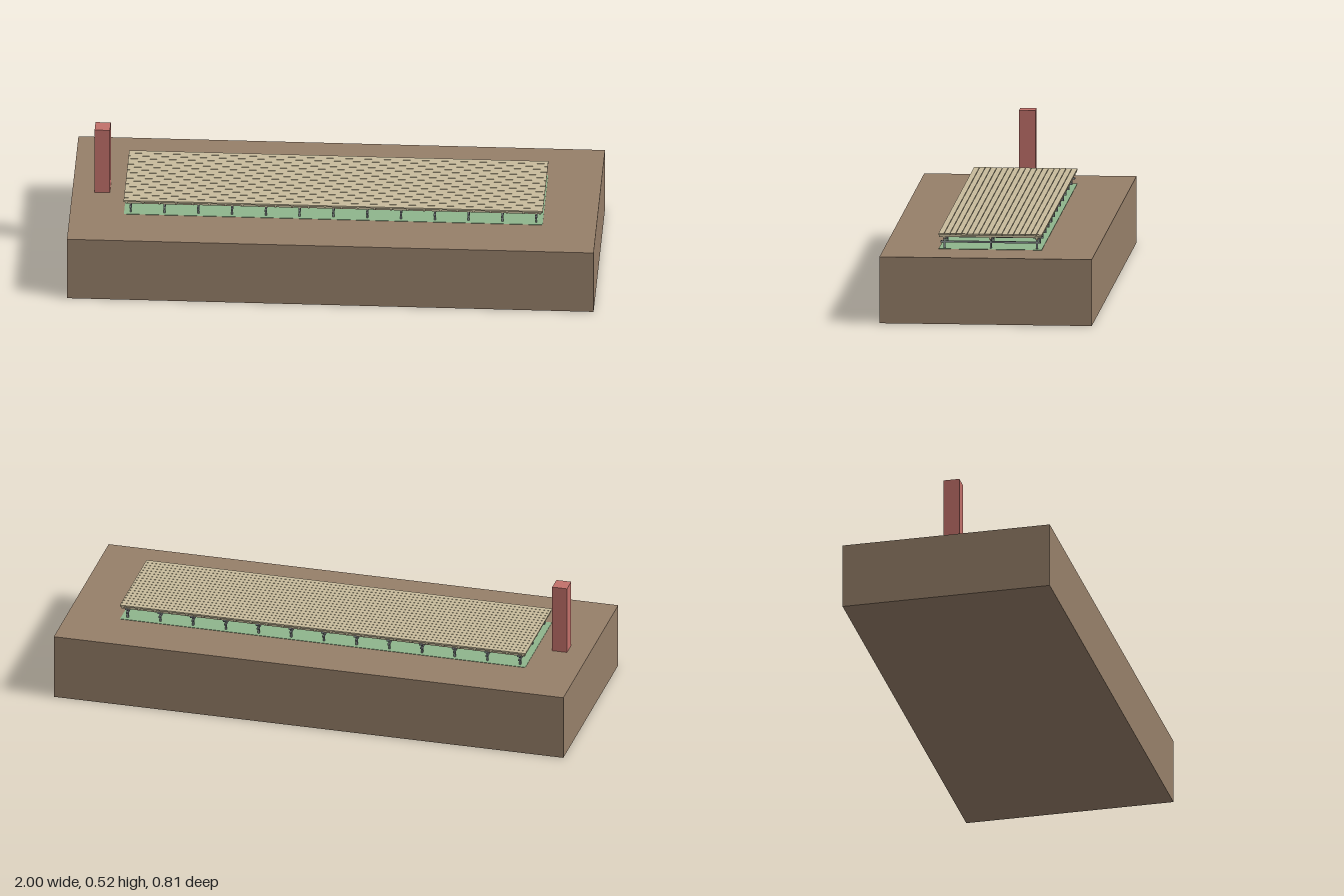
import * as THREE from 'three';

export function createModel() {
  const model = new THREE.Group();
  const mat = (name, color) => {
    const m = new THREE.MeshStandardMaterial({ color });
    m.name = name;
    return m;
  };
  const earth = mat('earth brown', 0x967f69);
  const brick = mat('brick red', 0xc2706a);
  const timber = mat('pale timber', 0xc8bc9c);
  const steel = mat('grey steel', 0x878d90);
  const grass = mat('grass green', 0x8fb58c);

  // Box given by its centre in x and z and its bottom and top heights
  const box = (name, material, x, z, w, d, y0, y1, parent = model) => {
    const mesh = new THREE.Mesh(new THREE.BoxGeometry(w, y1 - y0, d), material);
    mesh.position.set(x, (y0 + y1) / 2, z);
    mesh.name = name;
    parent.add(mesh);
    return mesh;
  };
  const group = (name) => {
    const g = new THREE.Group();
    g.name = name;
    model.add(g);
    return g;
  };

  // Ground block, marker pillar and strip of grass under the deck
  box('groundBlock', earth, 0, 0, 2, 0.808, 0, 0.255);
  box('markerPillar', brick, -0.886, 0, 0.058, 0.062, 0.255, 0.525);
  box('grassStrip', grass, 0, 0, 1.59, 0.392, 0.255, 0.2565);

  // Rows of posts, each row joined by a cross rail
  const frame = group('supportFrame');
  const rows = 13;
  for (let i = 0; i < rows; i++) {
    const x = -0.77 + (1.54 * i) / (rows - 1);
    for (const z of [-0.176, 0, 0.176]) {
      box('post', steel, x, z, 0.007, 0.007, 0.2565, 0.296, frame);
      // Round clamp beside the post head
      const clamp = new THREE.Mesh(new THREE.CylinderGeometry(0.004, 0.004, 0.012, 8), steel);
      clamp.rotation.z = Math.PI / 2;
      clamp.position.set(x + 0.003, 0.294, z - 0.008);
      clamp.name = 'clamp';
      frame.add(clamp);
    }
    box('crossRail', steel, x, 0, 0.008, 0.38, 0.277, 0.284, frame);
  }

  // Long beams carrying the joists
  const deck = group('deck');
  for (const z of [-0.176, 0, 0.176]) {
    box('longBeam', timber, 0, z, 1.58, 0.009, 0.294, 0.302, deck);
  }

  // Joists across the deck
  const joists = 26;
  for (let i = 0; i < joists; i++) {
    const x = -0.785 + (1.57 * i) / (joists - 1);
    box('joist', timber, x, 0, 0.008, 0.39, 0.301, 0.31, deck);
  }

  // Boards with narrow gaps
  const boards = 18;
  const pitch = 0.395 / boards;
  for (let i = 0; i < boards; i++) {
    const z = (i - (boards - 1) / 2) * pitch;
    box('board', timber, 0, z, 1.592, pitch - 0.0015, 0.309, 0.315, deck);
  }

  return model;
}
